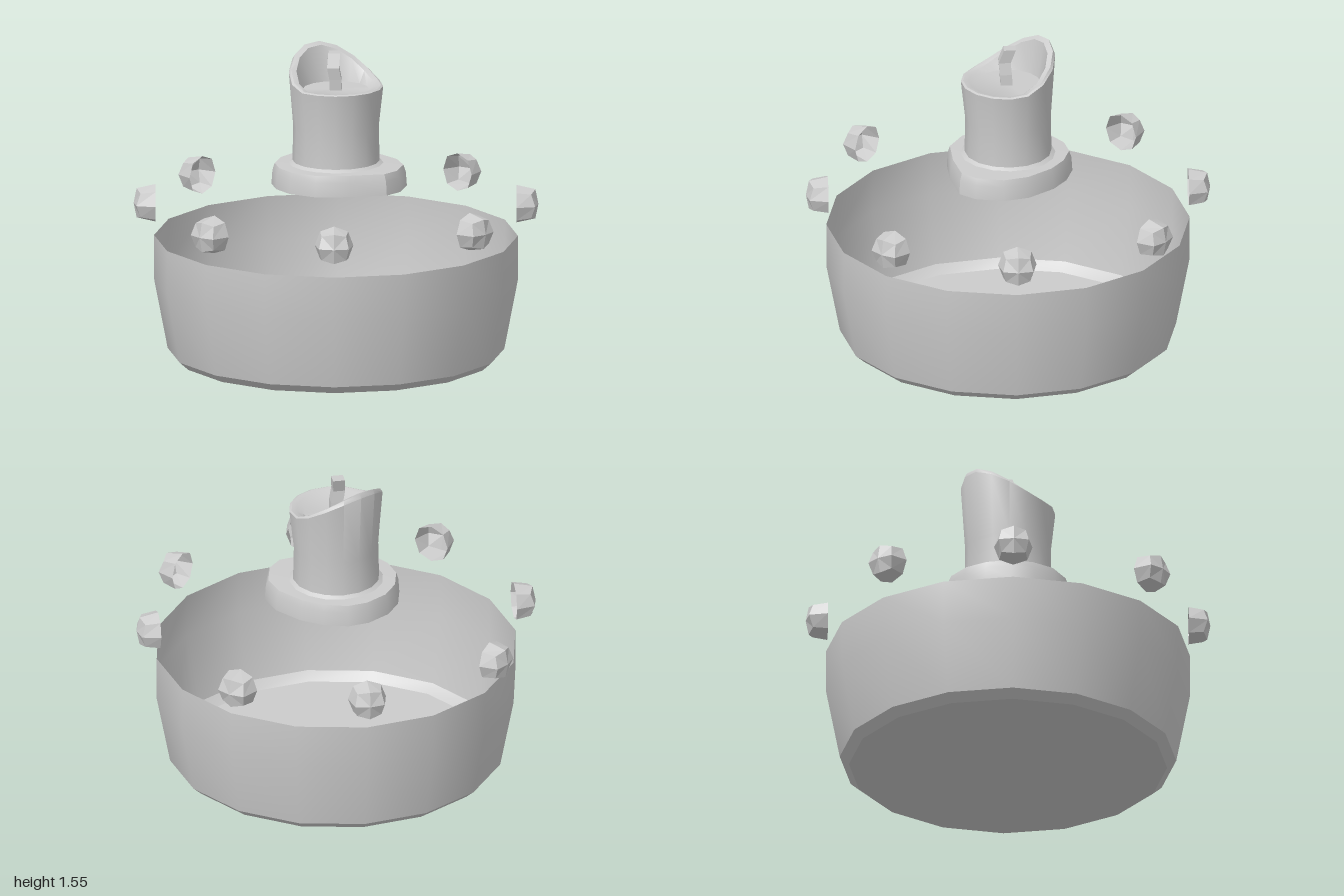
import * as THREE from 'three';
import { toCreasedNormals } from 'three/addons/utils/BufferGeometryUtils.js';

const material = new THREE.MeshStandardMaterial({ color: 0xcccccc, side: THREE.DoubleSide });
const flatMaterial = new THREE.MeshStandardMaterial({ color: 0xcccccc, side: THREE.DoubleSide, flatShading: true });

// Skin over a list of rings with equal point counts, with optional end points as caps
function loft(rings, startTip, endTip) {
  const n = rings[0].length;
  const points = rings.flat();
  const index = [];
  for (let j = 0; j < rings.length - 1; j++) {
    for (let i = 0; i < n; i++) {
      const a = j * n + i, b = j * n + (i + 1) % n;
      index.push(a, b, a + n, b, b + n, a + n);
    }
  }
  const cap = (tip, base, flip) => {
    points.push(tip);
    const t = points.length - 1;
    for (let i = 0; i < n; i++) {
      const a = base + i, b = base + (i + 1) % n;
      if (flip) index.push(t, b, a);
      else index.push(t, a, b);
    }
  };
  if (startTip) cap(startTip, 0, true);
  if (endTip) cap(endTip, (rings.length - 1) * n, false);
  const geometry = new THREE.BufferGeometry().setFromPoints(points);
  geometry.setIndex(index);
  return geometry;
}

// Horizontal ring; radius and height are functions of the angle from +z towards +x
function ring(n, radius, height) {
  return Array.from({ length: n }, (_, i) => {
    const t = (i / n) * Math.PI * 2;
    return new THREE.Vector3(radius(t) * Math.sin(t), height(t), radius(t) * Math.cos(t));
  });
}

function part(name, geometry, mat = material) {
  const mesh = new THREE.Mesh(geometry, mat);
  mesh.name = name;
  return mesh;
}

// Open bowl, a single skin with a chamfered foot
function makeBowl() {
  const profile = [[0, 0], [0.785, 0], [0.83, 0.04], [0.897, 0.39], [0.897, 0.612]];
  const lathe = new THREE.LatheGeometry(profile.map(([r, y]) => new THREE.Vector2(r, y)), 16);
  return part('bowl', toCreasedNormals(lathe, 0.5));
}

// Uneven plate with a bulge towards +x and a tapered edge
function makePlate() {
  const outline = [
    [0, 0.32], [0.14, 0.28], [0.26, 0.15], [0.358, 0], [0.35, -0.1], [0.275, -0.22], [0.16, -0.285], [0, -0.303],
    [-0.12, -0.28], [-0.23, -0.22], [-0.29, -0.13], [-0.315, 0], [-0.29, 0.12], [-0.22, 0.23], [-0.12, 0.295],
  ];
  const level = (y, s) => outline.map(([x, z]) => new THREE.Vector3(x * s, y, z * s));
  const geometry = loft([level(0.875, 1), level(0.945, 0.985), level(0.98, 0.95)],
    new THREE.Vector3(0, 0.875, 0), new THREE.Vector3(0, 0.99, 0));
  return part('plate', toCreasedNormals(geometry, 0.6));
}

// Candle column whose rim rises to a melted peak on one side
function makeColumn() {
  const peak = -Math.PI / 2 - 0.28;
  const rise = (t) => 0.175 * Math.pow(Math.max(0, (Math.cos(t - peak) + 0.3) / 1.3), 1.6);
  const level = (r, y, lift = 0) => ring(16, () => r, (t) => y + lift * rise(t));
  const geometry = loft([
    level(0.245, 0.975), level(0.215, 0.995), level(0.211, 1.17), level(0.233, 1.37, 0.9),
    level(0.222, 1.375, 1), level(0.195, 1.37, 0.95), level(0.163, 1.355),
  ], null, new THREE.Vector3(0, 1.355, 0));
  return part('candleColumn', toCreasedNormals(geometry, 0.6));
}

// Square wick, slightly bent
function makeWick() {
  const path = [[0.005, 1.34, 0.005], [0.006, 1.41, 0.01], [0.002, 1.47, 0.022], [-0.012, 1.54, 0]];
  const rings = path.map(([x, y, z]) =>
    ring(4, () => 0.042, () => y).map((p) => p.add(new THREE.Vector3(x, 0, z))));
  return part('wick', loft(rings, null, new THREE.Vector3(-0.012, 1.54, 0)), flatMaterial);
}

// Faceted stud: an eight-sided dome, open at the back, with its axis along +y
function makeStudGeometry() {
  const odd = (a, b) => (t) => (Math.round(t / (Math.PI / 4)) % 2 ? a : b);
  const geometry = loft([
    ring(8, odd(0.098, 0.095), () => -0.055),
    ring(8, odd(0.085, 0.074), odd(0.018, 0.038)),
  ], null, new THREE.Vector3(0, 0.053, 0));
  return geometry.rotateX(Math.PI / 2);
}

function makeStuds() {
  const group = new THREE.Group();
  group.name = 'studs';
  const geometry = makeStudGeometry();
  for (let i = 0; i < 8; i++) {
    const angle = i * Math.PI / 4 + (i % 2 ? 0 : 0.058);
    const stud = part('stud', geometry, flatMaterial);
    stud.position.set(0.945 * Math.sin(angle), 0.775, 0.945 * Math.cos(angle));
    stud.rotation.y = angle;
    group.add(stud);
  }
  return group;
}

export function createModel() {
  const model = new THREE.Group();
  model.name = 'candleBowl';
  model.add(makeBowl(), makePlate(), makeColumn(), makeWick(), makeStuds());
  return model;
}
